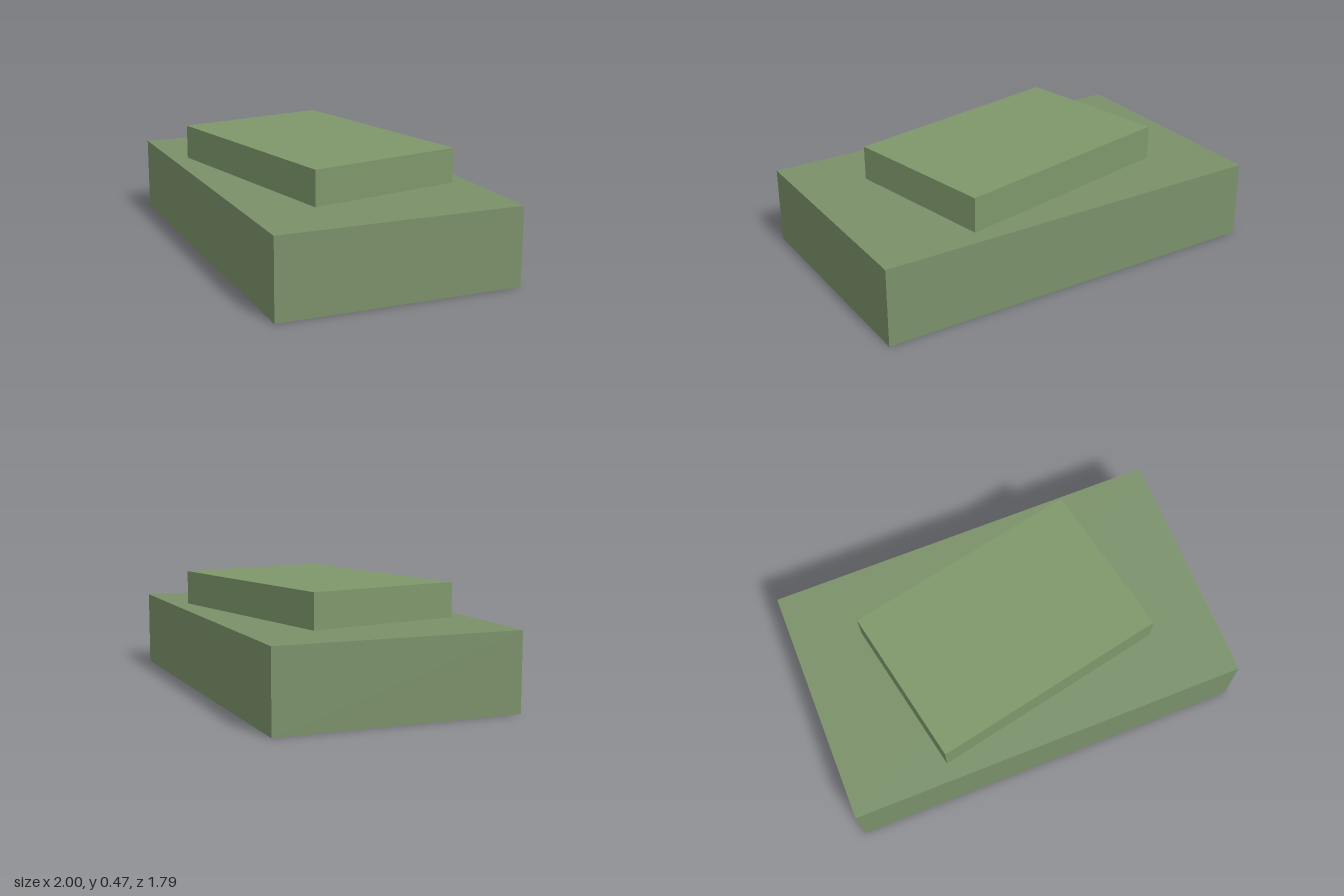
import * as THREE from 'three';

// Box standing on height y, turned about the vertical axis (degrees)
function slab(name, width, height, depth, y, turn, color) {
  const mesh = new THREE.Mesh(
    new THREE.BoxGeometry(width, height, depth),
    new THREE.MeshStandardMaterial({ color })
  );
  mesh.name = name;
  mesh.position.y = y + height / 2;
  mesh.rotation.y = THREE.MathUtils.degToRad(turn);
  return mesh;
}

export function createModel() {
  const model = new THREE.Group();
  model.name = 'steppedSlabs';
  // Wide lower block
  model.add(slab('lowerSlab', 1.715, 0.328, 1.025, 0, -32.5, 0x7a9069));
  // Smaller block on top, turned a little less
  model.add(slab('upperSlab', 1.025, 0.147, 0.685, 0.328, -21, 0x7e976b));
  return model;
}
